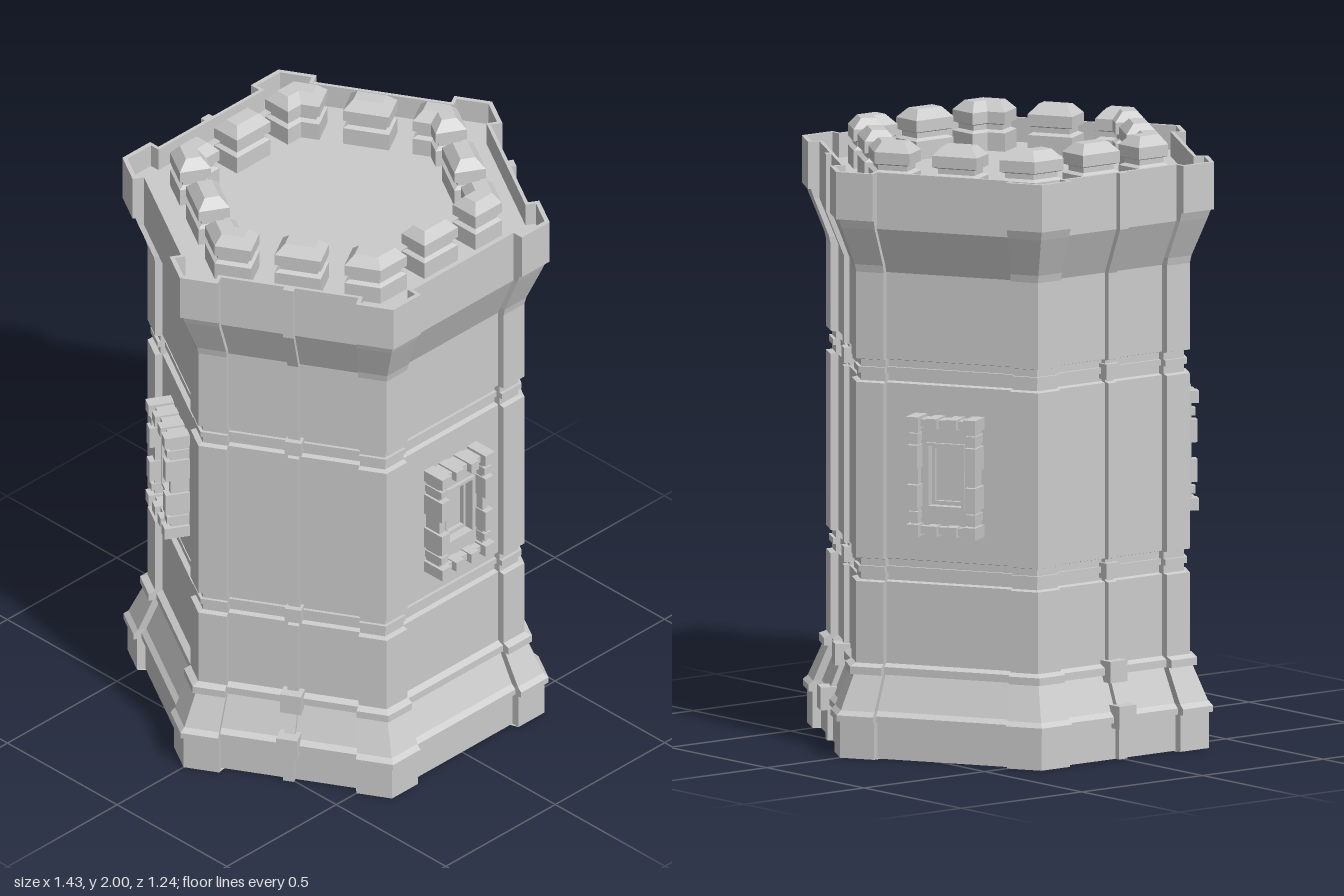
import * as THREE from 'three';

const TAN30 = Math.tan(Math.PI / 6);
const mat = new THREE.MeshStandardMaterial({ color: 0xcccccc, flatShading: true });

function add(parent, name, geometry) {
  const mesh = new THREE.Mesh(geometry, mat);
  mesh.name = name;
  parent.add(mesh);
  return mesh;
}

function box(parent, name, w, h, d, x, y, z) {
  add(parent, name, new THREE.BoxGeometry(w, h, d)).position.set(x, y, z);
}

// Joins closed rings of equal point count, bottom to top, with flat faces.
function loft(rings) {
  const out = [];
  const tri = (a, b, c) => {
    if (a.distanceTo(b) > 1e-6 && b.distanceTo(c) > 1e-6 && c.distanceTo(a) > 1e-6)
      for (const p of [a, b, c]) out.push(p.x, p.y, p.z);
  };
  for (let r = 0; r + 1 < rings.length; r++) {
    const lo = rings[r], hi = rings[r + 1], n = lo.length;
    for (let i = 0; i < n; i++) {
      const j = (i + 1) % n;
      tri(lo[i], lo[j], hi[j]);
      tri(lo[i], hi[j], hi[i]);
    }
  }
  const g = new THREE.BufferGeometry();
  g.setAttribute('position', new THREE.Float32BufferAttribute(out, 3));
  g.computeVertexNormals();
  return g;
}

// Hexagonal outline: corner posts at apothem a, walls between them at apothem b,
// u is half the wall width.
function hexRing([y, a, b, u]) {
  const ring = [];
  for (let k = 0; k < 6; k++)
    for (const [x, z] of [[-a * TAN30, a], [-u, a], [-u, b], [u, b], [u, a]])
      ring.push(new THREE.Vector3(x, y, z).applyAxisAngle(THREE.Object3D.DEFAULT_UP, k * Math.PI / 3));
  return ring;
}
const tower = rows => loft(rows.map(hexRing));

// Rows of [height, post apothem, wall apothem, half wall width]
const baseRows = [
  [0, 0, 0, 0], [0, 0.603, 0.575, 0.23], [0.12, 0.603, 0.575, 0.23],
  [0.12, 0.615, 0.588, 0.23], [0.14, 0.615, 0.588, 0.23], [0.155, 0.6, 0.572, 0.23],
  [0.27, 0.553, 0.527, 0.22], [0.27, 0.567, 0.541, 0.22],
  [0.295, 0.567, 0.541, 0.22], [0.305, 0.545, 0.52, 0.22],
];
// Double groove with a thin rib in the middle
const groove = y => [
  [y, 0.545, 0.52, 0.22], [y + 0.004, 0.527, 0.503, 0.22], [y + 0.03, 0.527, 0.503, 0.22],
  [y + 0.03, 0.537, 0.513, 0.22], [y + 0.05, 0.537, 0.513, 0.22],
  [y + 0.05, 0.527, 0.503, 0.22], [y + 0.073, 0.527, 0.503, 0.22], [y + 0.077, 0.545, 0.52, 0.22],
];
const shaftRows = [
  [0.305, 0.545, 0.52, 0.22], ...groove(0.572), ...groove(1.224), [1.585, 0.545, 0.52, 0.22],
];
// Flared crown with a thin parapet around a sunken deck
const crownRows = [
  [1.585, 0.545, 0.52, 0.22], [1.61, 0.55, 0.53, 0.22], [1.735, 0.598, 0.58, 0.23],
  [1.765, 0.608, 0.58, 0.23], [1.765, 0.618, 0.58, 0.23], [1.92, 0.618, 0.58, 0.23],
  [1.92, 0.603, 0.568, 0.242], [1.84, 0.603, 0.568, 0.242], [1.84, 0, 0, 0],
];

// Battlement blocks: base, neck and bevelled cap as [height, inset]
const merlonLayers = [
  [1.835, 0], [1.9, 0], [1.908, 0.014], [1.925, 0.014], [1.93, 0], [1.968, 0], [2.0, 0.028],
];
function merlon(outline) {
  const rings = merlonLayers.map(([y, i]) => outline(i).map(([x, z]) => new THREE.Vector3(x, y, z)));
  const top = rings[rings.length - 1];
  rings.push(top.map(() => top[0]));
  return loft(rings);
}
const wallMerlon = i => {
  const h = 0.077 - i, ai = 0.375 + i, ao = 0.48 - i;
  return [[-h, ai], [-h, ao], [h, ao], [h, ai]];
};
const cornerMerlon = i => {
  const e = 0.156 + i, ai = 0.375 + i, ao = 0.48 - i, dx = 0.5, dz = Math.sqrt(0.75);
  const mirror = ([x, z]) => {
    const d = 2 * (x * dx + z * dz);
    return [d * dx - x, d * dz - z];
  };
  return [[ai * TAN30, ai], [e, ai], [e, ao], [ao * TAN30, ao], mirror([e, ao]), mirror([e, ai])];
};

// Rectangular frame, from depth z0 to z1, centred on the window
const WIN_Y = 0.935;
function frame(parent, name, w, h, iw, ih, z0, z1) {
  const rect = (s, x, y) => s.moveTo(-x, -y).lineTo(x, -y).lineTo(x, y).lineTo(-x, y).closePath();
  const shape = rect(new THREE.Shape(), w, h);
  shape.holes.push(rect(new THREE.Path(), iw, ih));
  const g = new THREE.ExtrudeGeometry(shape, { depth: z1 - z0, bevelEnabled: false });
  add(parent, name, g).position.set(0, WIN_Y, z0);
}

function makeWindow() {
  const g = new THREE.Group();
  g.name = 'window';
  frame(g, 'windowPanel', 0.105, 0.18, 0.056, 0.098, 0.51, 0.555);
  frame(g, 'windowTrim', 0.066, 0.108, 0.056, 0.098, 0.55, 0.566);
  frame(g, 'windowInnerTrim', 0.056, 0.098, 0.046, 0.085, 0.51, 0.535);
  frame(g, 'windowSurround', 0.11, 0.187, 0.086, 0.163, 0.51, 0.582);
  for (const sx of [-1, 1])
    for (const sy of [-1, 1]) {
      box(g, 'cornerStone', 0.042, 0.04, 0.09, sx * 0.099, WIN_Y + sy * 0.176, 0.56);
      box(g, 'sideStone', 0.036, 0.075, 0.09, sx * 0.1, WIN_Y + sy * 0.065, 0.556);
      box(g, 'sideStoneSmall', 0.032, 0.026, 0.08, sx * 0.099, WIN_Y + sy * 0.128, 0.555);
      box(g, 'lintelStone', 0.036, 0.034, 0.09, sx * 0.034, WIN_Y + sy * 0.176, 0.556);
    }
  return g;
}

// Vertical rib that follows the wall profile, with couplings at the mouldings
function makeRib() {
  const g = new THREE.Group();
  g.name = 'wallRib';
  const rows = [...baseRows.slice(1), ...shaftRows.slice(1), ...crownRows.slice(1, 4)];
  const pts = rows.map(([y, , b]) => new THREE.Vector2(b + 0.018, y));
  pts.push(new THREE.Vector2(0.598, 1.92), new THREE.Vector2(0.575, 1.92),
    new THREE.Vector2(0.575, 1.74), new THREE.Vector2(0.49, 1.58), new THREE.Vector2(0.49, 0));
  const geo = new THREE.ExtrudeGeometry(new THREE.Shape(pts), { depth: 0.036, bevelEnabled: false });
  geo.translate(0, 0, -0.018).rotateY(-Math.PI / 2);
  add(g, 'rib', geo);
  box(g, 'lowerCoupling', 0.07, 0.075, 0.07, 0, 0.14, 0.583);
  box(g, 'upperCoupling', 0.07, 0.07, 0.07, 0, 0.283, 0.535);
  for (const y of [0.61, 1.262]) box(g, 'bandCoupling', 0.055, 0.05, 0.05, 0, y, 0.515);
  return g;
}

export function createModel() {
  const model = new THREE.Group();
  model.name = 'hexagonalTower';
  add(model, 'base', tower(baseRows));
  add(model, 'shaft', tower(shaftRows));
  add(model, 'crown', tower(crownRows));

  // Windows and ribs alternate around the six walls
  for (let k = 0; k < 6; k++) {
    const side = new THREE.Group();
    side.name = 'side' + (k + 1);
    side.rotation.y = k * Math.PI / 3;
    add(side, 'wallMerlon', merlon(wallMerlon));
    add(side, 'cornerMerlon', merlon(cornerMerlon));
    side.add(k % 2 ? makeRib() : makeWindow());
    model.add(side);
  }
  return model;
}
